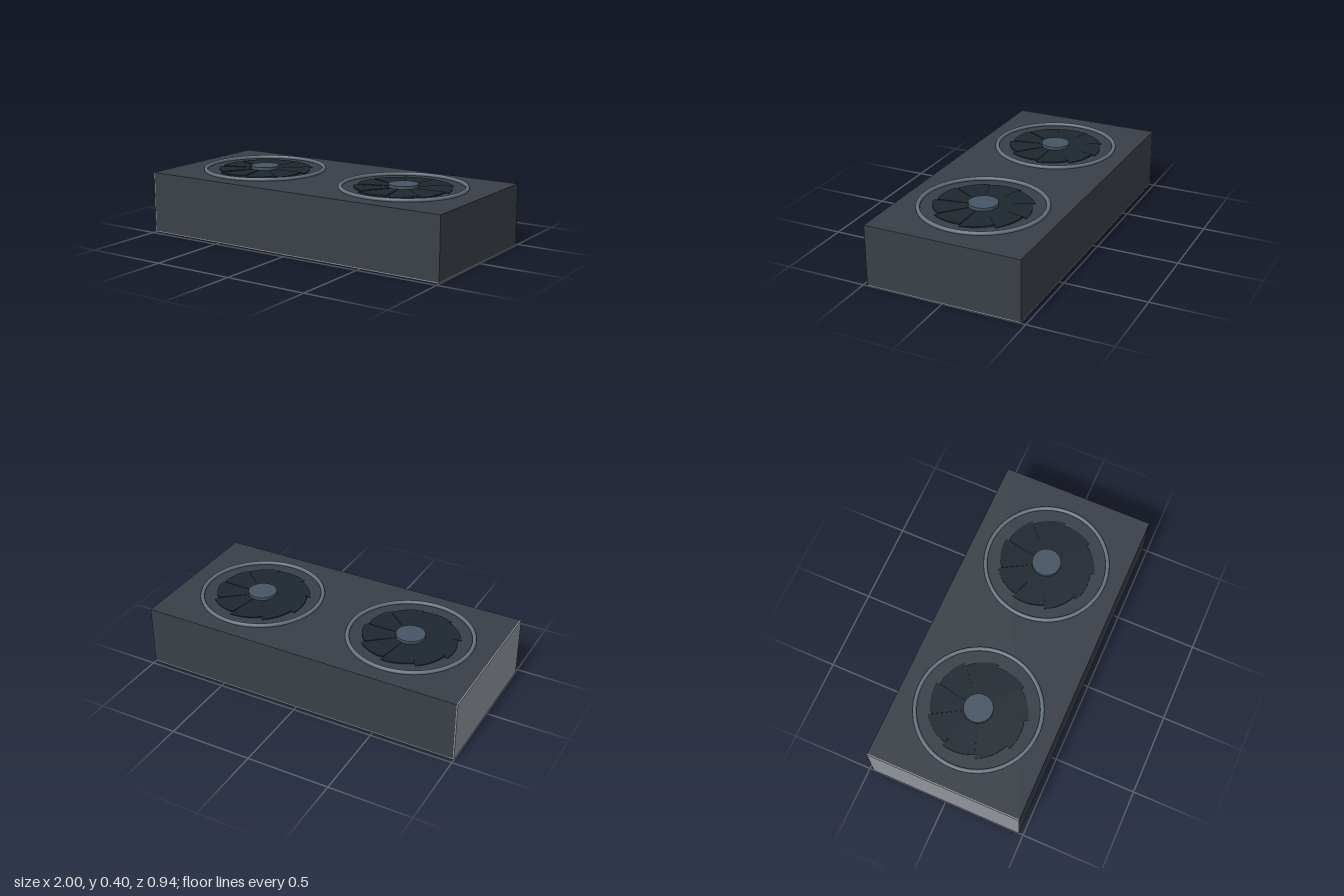
import * as THREE from 'three';

const mat = (color) => {
  const m = new THREE.MeshStandardMaterial();
  m.color.set(color);
  return m;
};

function add(parent, name, geometry, material, x = 0, y = 0, z = 0) {
  const mesh = new THREE.Mesh(geometry, material);
  mesh.name = name;
  mesh.position.set(x, y, z);
  parent.add(mesh);
  return mesh;
}

const BLADES = 9;
const TOP = 0.375;
const DEPTH = 0.945;
const SKIN = 0.007;

// One wedge-shaped blade whose rim swells towards its trailing tip
function bladeGeometry() {
  const sweep = (Math.PI * 2) / BLADES;
  const shape = new THREE.Shape();
  shape.moveTo(0, 0);
  const steps = 6;
  for (let i = 0; i <= steps; i++) {
    const t = i / steps;
    const a = (t - 0.5) * sweep;
    const r = 0.295 - 0.022 * t;
    shape.lineTo(Math.cos(a) * r, Math.sin(a) * r);
  }
  shape.closePath();
  const geo = new THREE.ExtrudeGeometry(shape, { depth: 0.008, bevelEnabled: false });
  geo.rotateX(-Math.PI / 2);
  geo.rotateX(0.03); // slight pitch
  return geo;
}

function createFan(name, x) {
  const fan = new THREE.Group();
  fan.name = name;
  fan.position.set(x, TOP, 0);

  // Round guard ring
  const ring = add(fan, 'guardRing', new THREE.TorusGeometry(0.368, 0.012, 12, 64), mat(0x64727f), 0, 0.008, 0);
  ring.rotation.x = Math.PI / 2;

  // Rotor: backing disc and pitched blades
  const dark = mat(0x1f272f);
  add(fan, 'rotorDisc', new THREE.CylinderGeometry(0.265, 0.265, 0.006, 48), dark, 0, 0.002, 0);
  const blade = bladeGeometry();
  for (let i = 0; i < BLADES; i++) {
    const mesh = add(fan, 'blade', blade, dark, 0, -0.001, 0);
    mesh.rotation.y = ((i + 0.5) / BLADES) * Math.PI * 2;
  }

  // Raised hub
  add(fan, 'hub', new THREE.CylinderGeometry(0.087, 0.087, 0.02, 32), mat(0x475464), 0, 0.015, 0);
  return fan;
}

export function createModel() {
  const model = new THREE.Group();
  model.name = 'twinFanUnit';

  // Closed housing
  const h = TOP - SKIN;
  add(model, 'housing', new THREE.BoxGeometry(2 - SKIN, h, DEPTH), mat(0x3a3f48), SKIN / 2, SKIN + h / 2, 0);

  // Lighter base plate and end bracket
  const plate = mat(0x90949c);
  add(model, 'basePlate', new THREE.BoxGeometry(2, SKIN, DEPTH), plate, 0, SKIN / 2, 0);
  add(model, 'endBracket', new THREE.BoxGeometry(SKIN, h, DEPTH), plate, -1 + SKIN / 2, SKIN + h / 2, 0);

  // Two fans along the top
  model.add(createFan('rightFan', -0.5), createFan('leftFan', 0.5));
  return model;
}
